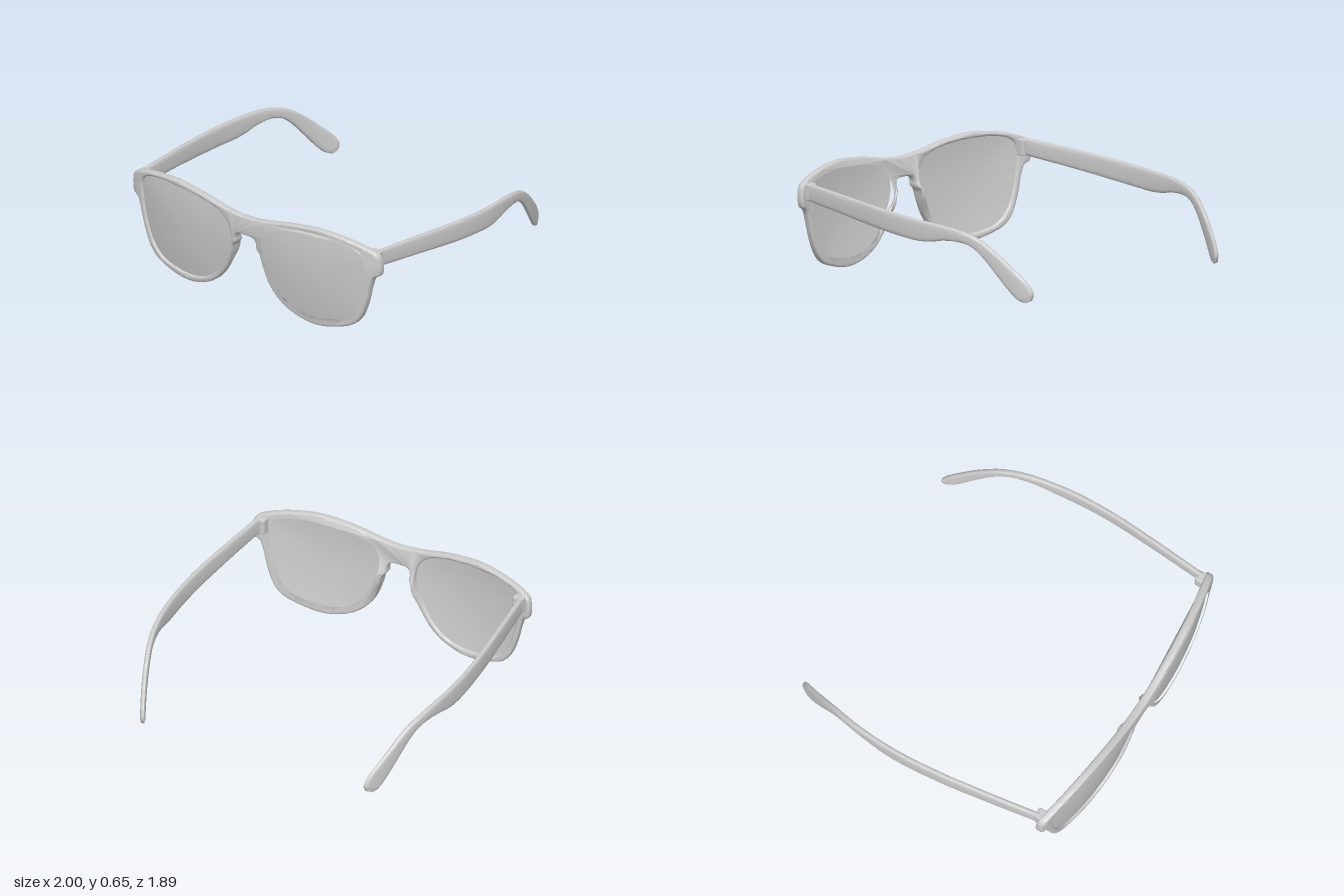
import * as THREE from 'three';
import { toCreasedNormals, mergeVertices } from 'three/addons/utils/BufferGeometryUtils.js';
import { RoundedBoxGeometry } from 'three/addons/geometries/RoundedBoxGeometry.js';

const MID = 0.025; // the front sits slightly off centre

// Right half of the front's outline, from top of the bridge round to its underside
const OUTER = [
  [0, .588], [.144, .6], [.305, .631], [.465, .65], [.556, .655], [.733, .636], [.866, .604],
  [.936, .572], [.952, .54], [.949, .44], [.912, .415], [.888, .353], [.861, .246], [.813, .128],
  [.759, .07], [.626, .021], [.492, .004], [.358, .032], [.251, .091], [.171, .182], [.118, .31],
  [.102, .37], [.081, .396], [.079, .433], [.06, .46], [0, .465],
];
const LENS = [
  [.112, .422], [.123, .487], [.171, .551], [.251, .588], [.412, .615], [.545, .62], [.733, .61],
  [.829, .578], [.861, .535], [.856, .406], [.829, .273], [.786, .166], [.706, .086], [.572, .053],
  [.465, .048], [.358, .07], [.251, .139], [.171, .257], [.123, .353],
];
// Temple stations, front to tip: top z, y and bottom z, y
const TEMPLE = [
  [.775, .583, .775, .478], [.44, .565, .44, .448], [.13, .545, .13, .417], [-.08, .53, -.07, .4],
  [-.2, .522, -.2, .392], [-.3, .515, -.29, .398], [-.4, .507, -.38, .416], [-.52, .486, -.49, .422],
  [-.63, .448, -.575, .404], [-.733, .377, -.65, .347], [-.835, .285, -.73, .255],
  [-.915, .205, -.805, .163], [-.946, .145, -.86, .106], [-.936, .108, -.9, .088],
];
// Temple centre lines seen from above: z, x
const LEFT_PATH = [[.78, .932], [.4, .963], [.1, .981], [-.2, .97], [-.5, .916], [-.75, .832], [-.95, .738]];
const RIGHT_PATH = [[.78, -.88], [.4, -.935], [.1, -.97], [-.2, -.984], [-.5, -.96], [-.75, -.885], [-.95, -.795]];

const spline = (pts, closed, n) =>
  new THREE.CatmullRomCurve3(pts.map(([x, y]) => new THREE.Vector3(x, y, 0)), closed, 'centripetal').getPoints(n);

// Front surface of the wrapped, slightly tilted face
const frontZ = (u, y) =>
  .943 - .108 * Math.pow(Math.abs(u) / .95, 2.5) - .04 * Math.pow(Math.max(0, .6 - y) / .6, 1.5);

// Closed skin through equal rings, capped at both ends
function loft(rings) {
  const n = rings[0].length, pts = rings.flat(), idx = [];
  for (let r = 0; r < rings.length - 1; r++) {
    for (let i = 0; i < n; i++) {
      const a = r * n + i, b = r * n + (i + 1) % n;
      idx.push(a, b, a + n, b, b + n, a + n);
    }
  }
  [0, rings.length - 1].forEach((r, end) => {
    const c = pts.length;
    pts.push(rings[r].reduce((s, p) => s.add(p), new THREE.Vector3()).divideScalar(n));
    for (let i = 0; i < n; i++) {
      const a = r * n + i, b = r * n + (i + 1) % n;
      idx.push(c, ...(end ? [a, b] : [b, a]));
    }
  });
  // Turn the skin outward if its volume is negative
  let volume = 0;
  const v = new THREE.Vector3();
  for (let i = 0; i < idx.length; i += 3) {
    volume += v.crossVectors(pts[idx[i + 1]], pts[idx[i + 2]]).dot(pts[idx[i]]);
  }
  if (volume < 0) idx.reverse();
  const g = new THREE.BufferGeometry().setFromPoints(pts);
  g.setIndex(idx);
  return toCreasedNormals(g, .8);
}

// One-piece front with two lens openings, rounded edges and built-in nose pads
function frontGeometry() {
  const mirrored = OUTER.slice(1, -1).reverse().map(([x, y]) => [-x, y]);
  const to2 = (p, s = 1) => new THREE.Vector2(p.x * s, p.y);
  const shape = new THREE.Shape(spline([...OUTER, ...mirrored], true, 240).slice(0, -1).map(p => to2(p)));
  const hole = spline(LENS, true, 90).slice(0, -1);
  for (const s of [1, -1]) shape.holes.push(new THREE.Path(hole.map(p => to2(p, s))));
  const b = .013, thick = .05;
  let g = new THREE.ExtrudeGeometry(shape, {
    depth: thick - 2 * b, bevelEnabled: true, bevelThickness: b, bevelSize: b, bevelOffset: -b, bevelSegments: 4,
  });
  const p = g.attributes.position;
  for (let i = 0; i < p.count; i++) {
    const u = p.getX(i), y = p.getY(i), back = 1 - (p.getZ(i) + b) / thick;
    const pad = Math.exp(-(((Math.abs(u) - .11) / .06) ** 2) - ((y - .34) / .11) ** 2);
    p.setZ(i, frontZ(u, y) - back * (thick + .05 * pad));
  }
  g.deleteAttribute('normal');
  g.deleteAttribute('uv');
  g = mergeVertices(g, 1e-5);
  return toCreasedNormals(g, 1);
}

// Gently domed lens
function lensGeometry(side) {
  const edge = spline(LENS, true, 72).slice(0, -1);
  const ring = (s, depth) => edge.map(p => {
    const u = .49 + (p.x - .49) * s, y = .34 + (p.y - .34) * s;
    return new THREE.Vector3(u * side, y, frontZ(u, y) - depth + .014 * (1 - s * s));
  });
  const steps = [.03, .2, .4, .6, .8, 1.015];
  return loft([...steps.map(s => ring(s, .016)), ...steps.slice().reverse().map(s => ring(s, .036))]);
}

// Flat temple that widens, bends over the ear and curves inward
function templeGeometry(path) {
  const plan = spline(path, false, 80);
  const xAt = z => {
    let i = 0;
    while (i < plan.length - 2 && plan[i + 1].x > z) i++;
    const a = plan[i], b = plan[i + 1];
    return a.y + (b.y - a.y) * (z - a.x) / (b.x - a.x);
  };
  const curve = k => new THREE.CatmullRomCurve3(
    TEMPLE.map(s => new THREE.Vector3(0, s[k + 1], s[k])), false, 'centripetal');
  const top = curve(0), bottom = curve(2), N = 52, M = 20;
  const rings = [];
  for (let i = 0; i <= N; i++) {
    const a = top.getPoint(i / N), c = bottom.getPoint(i / N);
    const half = .0175 * (i > N - 3 ? .8 : 1);
    rings.push(Array.from({ length: M }, (_, j) => {
      const t = j / M * Math.PI * 2;
      const round = w => Math.sign(w) * Math.pow(Math.abs(w), .55);
      const q = a.clone().lerp(c, .5 - .5 * round(Math.sin(t)));
      q.x = xAt(q.z) + half * round(Math.cos(t));
      return q;
    }));
  }
  return loft(rings);
}

export function createModel() {
  const model = new THREE.Group();
  model.name = 'sunglasses';
  const grey = new THREE.MeshStandardMaterial({ color: 0xcccccc });
  grey.name = 'light grey';
  const add = (name, geometry, x = 0, y = 0, z = 0) => {
    const mesh = new THREE.Mesh(geometry, grey);
    mesh.name = name;
    mesh.position.set(x, y, z);
    model.add(mesh);
    return mesh;
  };

  add('frontFrame', frontGeometry(), MID);
  for (const [name, side, path] of [['left', 1, LEFT_PATH], ['right', -1, RIGHT_PATH]]) {
    add(name + 'Lens', lensGeometry(side), MID);
    add(name + 'Temple', templeGeometry(path));
    // Hinge: block behind the end piece with a pin and knuckles on its inner side
    add(name + 'HingeBlock', new RoundedBoxGeometry(.07, .1, .05, 2, .008), MID + side * .893, .53, .785);
    add(name + 'HingePin', new THREE.CylinderGeometry(.01, .01, .085, 12), MID + side * .873, .53, .762);
    for (const y of [.5, .53, .56]) {
      add(name + 'HingeKnuckle', new THREE.CylinderGeometry(.014, .014, .018, 12), MID + side * .873, y, .762);
    }
  }
  return model;
}
